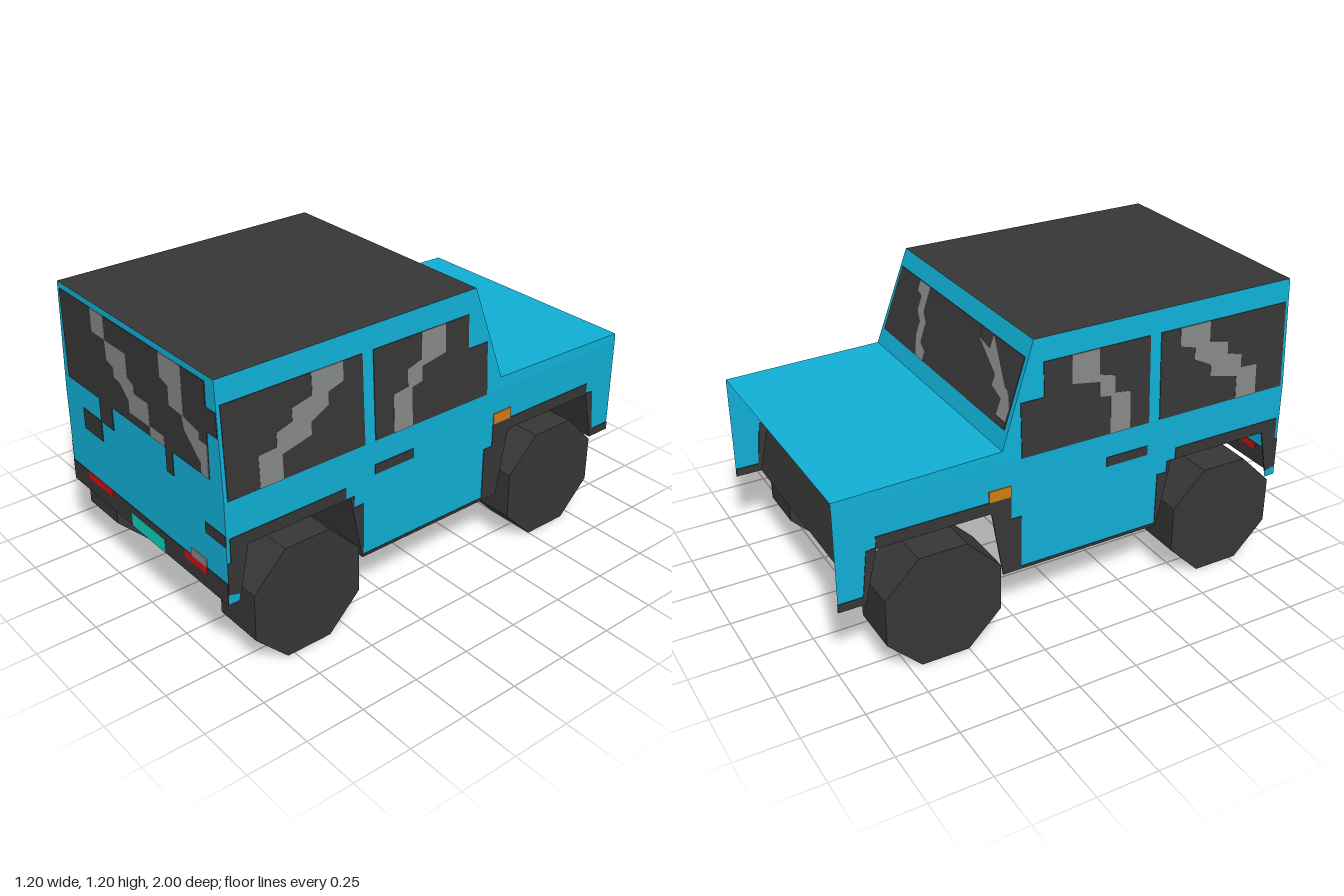
import * as THREE from 'three';

const material = (name, color) =>
  Object.assign(new THREE.MeshStandardMaterial({ color, side: THREE.DoubleSide }), { name });

// Body section: upright up to the waist, leaning inwards above it
const OFFSET = 0.007;
const WAIST = 0.74;
const halfWidth = (y) => 0.552 - 0.025 * Math.max(0, (y - WAIST) / (1.2 - WAIST));

// Panel planes: (u, v) on the panel, w through its thickness
const rearPlane = (u, v, w) => [u, v, 1 + w];
const glassPlane = (u, v, w) => [u, v, -0.32 + (v - 0.79) * 0.14 / 0.41 + w];
const sidePlane = (s) => (u, v, w) => [OFFSET + s * halfWidth(v) - w, v, u];

const rect = (u0, u1, v0, v1) => [[u0, v0], [u1, v0], [u1, v1], [u0, v1]];

export function createModel() {
  const model = new THREE.Group();
  model.name = 'offRoadCar';

  const blue = material('bodyBlue', 0x10aed4);
  const dark = material('darkTrim', 0x363636);
  const grey = material('glassShine', 0x858786);
  const red = material('lampRed', 0xcc1010);
  const teal = material('plateTeal', 0x10cfb8);
  const orange = material('indicatorOrange', 0xd07c10);

  function add(name, geometry, mat, parent = model) {
    const mesh = new THREE.Mesh(geometry, mat);
    mesh.name = name;
    parent.add(mesh);
    return mesh;
  }

  // Flat panel (depth 0) or thin painted plate, laid onto a panel plane
  function panel(name, points, plane, mat, depth = 0, parent = model) {
    const shape = new THREE.Shape(points.map(([u, v]) => new THREE.Vector2(u, v)));
    const geometry = depth
      ? new THREE.ExtrudeGeometry(shape, { depth, bevelEnabled: false })
      : new THREE.ShapeGeometry(shape);
    const p = geometry.attributes.position;
    for (let i = 0; i < p.count; i++) {
      p.setXYZ(i, ...plane(p.getX(i), p.getY(i), p.getZ(i) - depth / 2));
    }
    geometry.computeVertexNormals();
    return add(name, geometry, mat, parent);
  }
  const PAINT = 0.006, OVERPAINT = 0.009;

  // Sheet across the full width of the body between two (z, y) points
  function crossSheet(name, [z0, y0], [z1, y1], mat) {
    const a = halfWidth(y0), b = halfWidth(y1);
    const geometry = new THREE.BufferGeometry();
    geometry.setAttribute('position', new THREE.Float32BufferAttribute([
      OFFSET - a, y0, z0, OFFSET + a, y0, z0, OFFSET + b, y1, z1, OFFSET - b, y1, z1], 3));
    geometry.setIndex([0, 1, 2, 0, 2, 3]);
    geometry.computeVertexNormals();
    return add(name, geometry, mat);
  }

  // Roof, windscreen frame, bonnet and wheel well walls
  crossSheet('roof', [1, 1.2], [-0.18, 1.2], dark);
  crossSheet('windscreenFrame', [-0.18, 1.2], [-0.32, 0.79], blue);
  crossSheet('bonnet', [-0.32, 0.79], [-1, 0.775], blue);
  crossSheet('bonnetWellWall', [-0.84, 0.54], [-0.89, 0.315], dark);
  crossSheet('cabWellWall', [0.45, 0.54], [0.39, 0.25], dark);

  // Windscreen glass with two shine streaks
  panel('windscreen', [[-0.515, 0.86], [0.53, 0.86], [0.52, 1.13], [-0.505, 1.13]],
    glassPlane, dark, PAINT);
  panel('windscreenShine', [[0.34, 1.13], [0.25, 1.13], [0.25, 1.03], [0.21, 1.0], [0.21, 0.92],
    [0.16, 0.9], [0.16, 0.86], [0.22, 0.86], [0.26, 0.93], [0.26, 0.99], [0.3, 1.02],
    [0.3, 1.08], [0.34, 1.09]], glassPlane, grey, OVERPAINT);
  panel('windscreenShine', [[-0.19, 1.13], [-0.28, 1.13], [-0.28, 1.06], [-0.36, 1.03],
    [-0.36, 0.97], [-0.44, 0.95], [-0.44, 0.89], [-0.51, 0.89], [-0.51, 0.94], [-0.47, 0.99],
    [-0.39, 1.01], [-0.34, 1.07], [-0.19, 1.09]].reverse(), glassPlane, grey, OVERPAINT);

  // Tail panel
  const edge = (s, y) => [OFFSET + s * halfWidth(y), y];
  panel('tailPanel', [edge(-1, 0.315), edge(1, 0.315), edge(1, WAIST), edge(1, 1.2),
    edge(-1, 1.2), edge(-1, WAIST)], rearPlane, blue);
  panel('tailBumper', rect(-0.545, 0.559, 0.315, 0.405), rearPlane, dark, PAINT);
  panel('tailWindow', [[-0.505, 0.8], [-0.27, 0.8], [-0.27, 0.7], [-0.175, 0.7], [-0.175, 0.8],
    [0.2, 0.8], [0.2, 0.7], [0.245, 0.7], [0.245, 0.8], [0.48, 0.8], [0.48, 0.985],
    [0.544, 0.985], [0.538, 1.08], [0.48, 1.08], [0.48, 1.175], [-0.505, 1.175]],
  rearPlane, dark, PAINT);
  panel('tailLatch', rect(-0.41, -0.27, 0.61, 0.7), rearPlane, dark, PAINT);
  panel('tailHinge', rect(0.435, 0.559, 0.56, 0.605), rearPlane, dark, PAINT);
  panel('tailShine', [[-0.27, 1.175], [-0.175, 1.175], [-0.175, 1.08], [-0.03, 1.08],
    [-0.03, 0.985], [0.01, 0.97], [0.01, 0.935], [0.105, 0.935], [0.105, 0.845], [0.2, 0.845],
    [0.2, 0.8], [0.105, 0.8], [0.105, 0.84], [-0.035, 0.84], [-0.035, 0.89], [-0.09, 0.94],
    [-0.13, 0.945], [-0.13, 0.985], [-0.175, 1.0], [-0.18, 1.08], [-0.27, 1.08]],
  rearPlane, grey, OVERPAINT);
  panel('tailShine', [[0.2, 1.175], [0.34, 1.175], [0.34, 0.985], [0.435, 0.965], [0.435, 0.935],
    [0.48, 0.935], [0.48, 0.8], [0.435, 0.8], [0.435, 0.845], [0.34, 0.935], [0.33, 0.985],
    [0.25, 0.99], [0.25, 1.065], [0.2, 1.08]], rearPlane, grey, OVERPAINT);
  panel('tailLamp', rect(-0.42, -0.23, 0.375, 0.405), rearPlane, red, OVERPAINT);
  panel('tailLamp', rect(0.285, 0.43, 0.375, 0.407), rearPlane, red, OVERPAINT);
  panel('lampShine', rect(0.33, 0.43, 0.407, 0.442), rearPlane, grey, OVERPAINT);
  panel('rearPlate', rect(-0.09, 0.145, 0.315, 0.375), rearPlane, teal, OVERPAINT);

  // Side outlines, as (z, y)
  const arches = [[-0.89, 0.315], [-0.84, 0.54], [-0.37, 0.54], [-0.32, 0.25], [0.39, 0.25],
    [0.45, 0.54], [0.91, 0.54], [0.955, 0.315]];
  const lowerSide = [[-1, WAIST], [-1, 0.315], ...arches, [1, 0.315], [1, WAIST]];
  const upperSide = [[-1, WAIST], [1, WAIST], [1, 1.2], [-0.18, 1.2], [-0.32, 0.79], [-1, 0.775]];
  const archTrim = [[-1, 0.35], [-1, 0.315], ...arches.slice(0, 7), [0.95, 0.345], [1, 0.36],
    [1, 0.49], [0.985, 0.49], [0.985, 0.59], [0.47, 0.59], [0.47, 0.54], [0.43, 0.54],
    [0.43, 0.49], [0.385, 0.49], [0.385, 0.262], [-0.24, 0.262], [-0.24, 0.49], [-0.285, 0.49],
    [-0.285, 0.59], [-0.84, 0.59], [-0.84, 0.545], [-0.88, 0.54], [-0.9, 0.35]];
  const doorWindow = [[0.33, 0.741], [-0.24, 0.741], [-0.24, 0.965], [-0.14, 0.965],
    [-0.14, 1.105], [0.33, 1.105]];
  const rearShine = [[0.61, 1.105], [0.47, 1.105], [0.47, 1.03], [0.54, 1.01], [0.54, 0.96],
    [0.62, 0.92], [0.62, 0.87], [0.75, 0.84], [0.75, 0.741], [0.85, 0.741], [0.85, 0.87],
    [0.77, 0.875], [0.77, 0.93], [0.7, 0.95], [0.7, 1.0], [0.61, 1.02]];
  const doorShine = [[0.1, 1.105], [-0.02, 1.105], [-0.02, 0.99], [0.1, 0.97], [0.1, 0.91],
    [0.15, 0.9], [0.15, 0.741], [0.24, 0.741], [0.24, 0.9], [0.17, 0.91], [0.17, 0.98],
    [0.1, 1.0]];

  for (const s of [1, -1]) {
    const side = new THREE.Group();
    side.name = s > 0 ? 'leftSide' : 'rightSide';
    model.add(side);
    const onSide = (name, points, mat, depth) =>
      panel(name, points, sidePlane(s), mat, depth, side);
    onSide('lowerSidePanel', lowerSide, blue);
    onSide('upperSidePanel', upperSide, blue);
    onSide('archTrim', archTrim, dark, PAINT);
    onSide('rearSideWindow', rect(0.38, 0.985, 0.741, 1.105), dark, PAINT);
    onSide('doorWindow', doorWindow, dark, PAINT);
    onSide('rearWindowShine', rearShine, grey, OVERPAINT);
    onSide('doorWindowShine', doorShine, grey, OVERPAINT);
    onSide('doorHandle', rect(0.14, 0.33, 0.597, 0.638), dark, PAINT);
    onSide('indicator', rect(-0.38, -0.285, 0.59, 0.637), orange, OVERPAINT);

    // Eight-sided wheels
    for (const z of [0.68, -0.6]) {
      const radius = 0.24 / Math.cos(Math.PI / 8);
      const wheel = new THREE.CylinderGeometry(radius, radius, 0.22, 8)
        .rotateY(Math.PI / 8).rotateZ(Math.PI / 2).toNonIndexed();
      wheel.computeVertexNormals();
      add('wheel', wheel, dark).position.set(s * 0.49, 0.24, z);
    }
  }
  return model;
}
